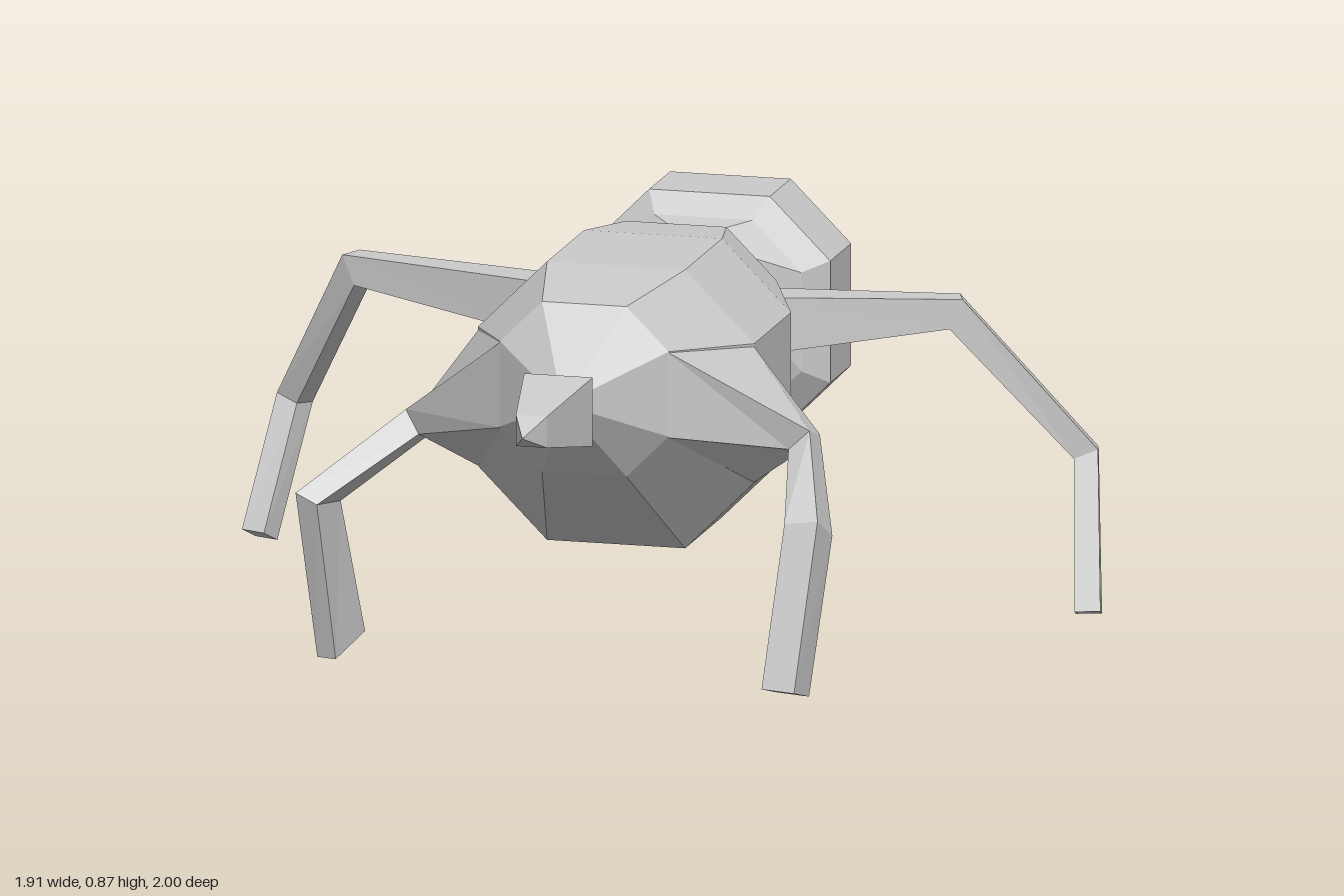
import * as THREE from 'three';

const CX = 0.043; // body axis offset
const V = (x, y, z) => new THREE.Vector3(x, y, z);
const material = new THREE.MeshStandardMaterial({ color: 0xcccccc, flatShading: true });

// Skin a list of rings (counter-clockwise about the direction of travel) and cap both ends.
function loft(name, rings) {
  const pos = [];
  const tri = (a, b, c) => [a, b, c].forEach((p) => pos.push(p.x, p.y, p.z));
  const n = rings[0].length;
  for (let r = 0; r + 1 < rings.length; r++) {
    const a = rings[r], b = rings[r + 1];
    for (let i = 0; i < n; i++) {
      const j = (i + 1) % n;
      tri(a[i], a[j], b[j]);
      tri(a[i], b[j], b[i]);
    }
  }
  const first = rings[0], last = rings[rings.length - 1];
  for (let i = 1; i + 1 < n; i++) {
    tri(first[0], first[i + 1], first[i]);
    tri(last[0], last[i], last[i + 1]);
  }
  const geometry = new THREE.BufferGeometry();
  geometry.setAttribute('position', new THREE.Float32BufferAttribute(pos, 3));
  geometry.computeVertexNormals();
  const mesh = new THREE.Mesh(geometry, material);
  mesh.name = name;
  return mesh;
}

// Bevelled-square octagon and plain square sections facing +z
const OCT = [[1, -0.5], [1, 0.5], [0.5, 1], [-0.5, 1], [-1, 0.5], [-1, -0.5], [-0.5, -1], [0.5, -1]];
const SQUARE = [[1, -1], [1, 1], [-1, 1], [-1, -1]];
// Each station is [z, centre y, half width]
const alongZ = (name, section, stations) =>
  loft(name, stations.map(([z, y, s]) => section.map(([px, py]) => V(CX + px * s, y + py * s, z))));

// Four-sided jointed limb; sizes are [width, thickness] at each joint
function limb(name, points, sizes, base) {
  const pts = points.map((p) => V(...p));
  const dir = (i) => pts[i + 1].clone().sub(pts[i]).normalize();
  let prev = dir(0);
  const v = V(0, 1, 0);
  v.addScaledVector(prev, -v.dot(prev)).normalize();
  const rings = pts.map((p, i) => {
    const t = i === 0 ? dir(0) : i === pts.length - 1 ? dir(i - 1) : dir(i - 1).add(dir(i)).normalize();
    v.applyQuaternion(new THREE.Quaternion().setFromUnitVectors(prev, t));
    prev = t;
    const u = v.clone().cross(t);
    const [w, h] = sizes[i];
    return [[1, 1], [-1, 1], [-1, -1], [1, -1]].map(([a, b]) =>
      p.clone().addScaledVector(u, (a * w) / 2).addScaledVector(v, (b * h) / 2));
  });
  if (base) rings[0] = base;
  return loft(name, rings);
}

// Shoulder patch on the body's flank where a front leg grows out
function shoulder(side) {
  const x = (d) => CX + side * d;
  const ring = [V(x(0.30), 0.73, 0.24), V(x(0.185), 0.765, 0.5), V(x(0.185), 0.58, 0.5), V(x(0.30), 0.43, 0.24)];
  return side > 0 ? ring : [ring[1], ring[0], ring[3], ring[2]];
}

export function createModel() {
  const group = new THREE.Group();
  group.name = 'creature';

  // Body, waist and rounded abdomen in one skin
  group.add(alongZ('body', OCT, [
    [-0.81, 0.607, 0.12], [-0.76, 0.607, 0.20], [-0.69, 0.607, 0.265], [-0.52, 0.607, 0.265],
    [-0.47, 0.615, 0.215], [-0.40, 0.725, 0.095], [-0.37, 0.73, 0.10], [-0.25, 0.645, 0.22],
    [-0.06, 0.582, 0.303], [0.24, 0.582, 0.303], [0.5, 0.675, 0.185], [0.64, 0.68, 0.04],
  ]));

  // Pointed snout
  group.add(alongZ('snout', SQUARE, [
    [0.63, 0.677, 0.012], [0.71, 0.677, 0.075], [0.93, 0.68, 0.034], [1, 0.68, 0.002],
  ]));

  // Stinger: square socket with a thin spike set into it
  group.add(alongZ('stingerSocket', SQUARE, [
    [-0.84, 0.605, 0.018], [-0.865, 0.605, 0.022], [-0.80, 0.605, 0.052],
  ]));
  group.add(alongZ('stingerSpike', SQUARE, [[-1, 0.605, 0.001], [-0.83, 0.605, 0.02]]));

  // Front legs, one planted forward and one pulled back
  group.add(limb('leftFrontLeg',
    [[0.27, 0.63, 0.36], [0.465, 0.535, 0.275], [0.52, 0.385, 0.445], [0.495, 0.05, 0.54]],
    [[0.2, 0.2], [0.08, 0.06], [0.09, 0.075], [0.085, 0.075]], shoulder(1)));
  group.add(limb('rightFrontLeg',
    [[-0.18, 0.63, 0.36], [-0.385, 0.525, 0.26], [-0.58, 0.37, 0.355], [-0.555, 0.03, 0.26]],
    [[0.2, 0.2], [0.07, 0.06], [0.12, 0.055], [0.13, 0.045]], shoulder(-1)));

  // Long splayed back legs
  const backSizes = [[0.1, 0.13], [0.055, 0.07], [0.06, 0.055], [0.06, 0.055]];
  group.add(limb('leftBackLeg',
    [[0.2, 0.675, -0.19], [0.63, 0.69, -0.34], [0.89, 0.375, -0.445], [0.92, 0.05, -0.35]], backSizes));
  group.add(limb('rightBackLeg',
    [[-0.13, 0.675, -0.19], [-0.7, 0.69, -0.405], [-0.875, 0.365, -0.55], [-0.92, 0.09, -0.43]], backSizes));

  return group;
}
